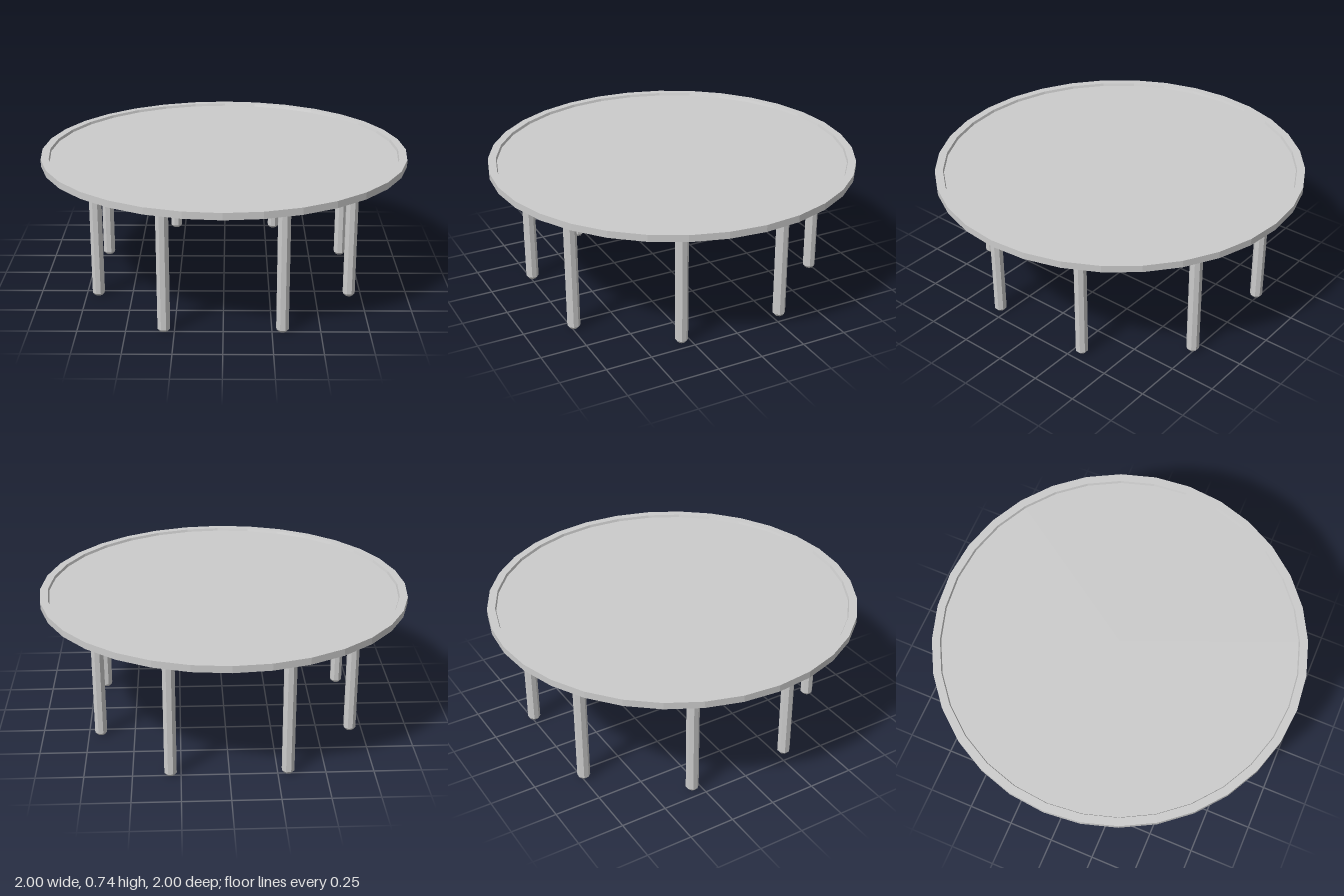
import * as THREE from 'three';

const material = new THREE.MeshStandardMaterial({ color: 0xcccccc, flatShading: true });

// Revolve a list of [radius, height] points into a named, faceted mesh
function turned(name, profile, sides) {
  const points = profile.map(([r, y]) => new THREE.Vector2(r, y));
  const mesh = new THREE.Mesh(new THREE.LatheGeometry(points, sides), material);
  mesh.name = name;
  return mesh;
}

export function createModel() {
  const table = new THREE.Group();
  table.name = 'roundTable';

  // Round top with a raised rim around a shallow recess
  table.add(turned('tableTop', [
    [0, 0.706], [1, 0.706], [1, 0.743], [0.957, 0.743], [0.952, 0.729], [0, 0.729],
  ], 32));

  // Eight octagonal legs with chamfered feet, mirrored over both axes
  const legProfile = [[0, 0], [0.022, 0], [0.0345, 0.015], [0.0345, 0.708]];
  for (const [x, z] of [[0.685, 0.295], [0.304, 0.737]]) {
    for (const sx of [-1, 1]) {
      for (const sz of [-1, 1]) {
        const leg = turned('leg', legProfile, 8);
        leg.position.set(sx * x, 0, sz * z);
        leg.rotation.y = Math.PI / 8;
        table.add(leg);
      }
    }
  }
  return table;
}
